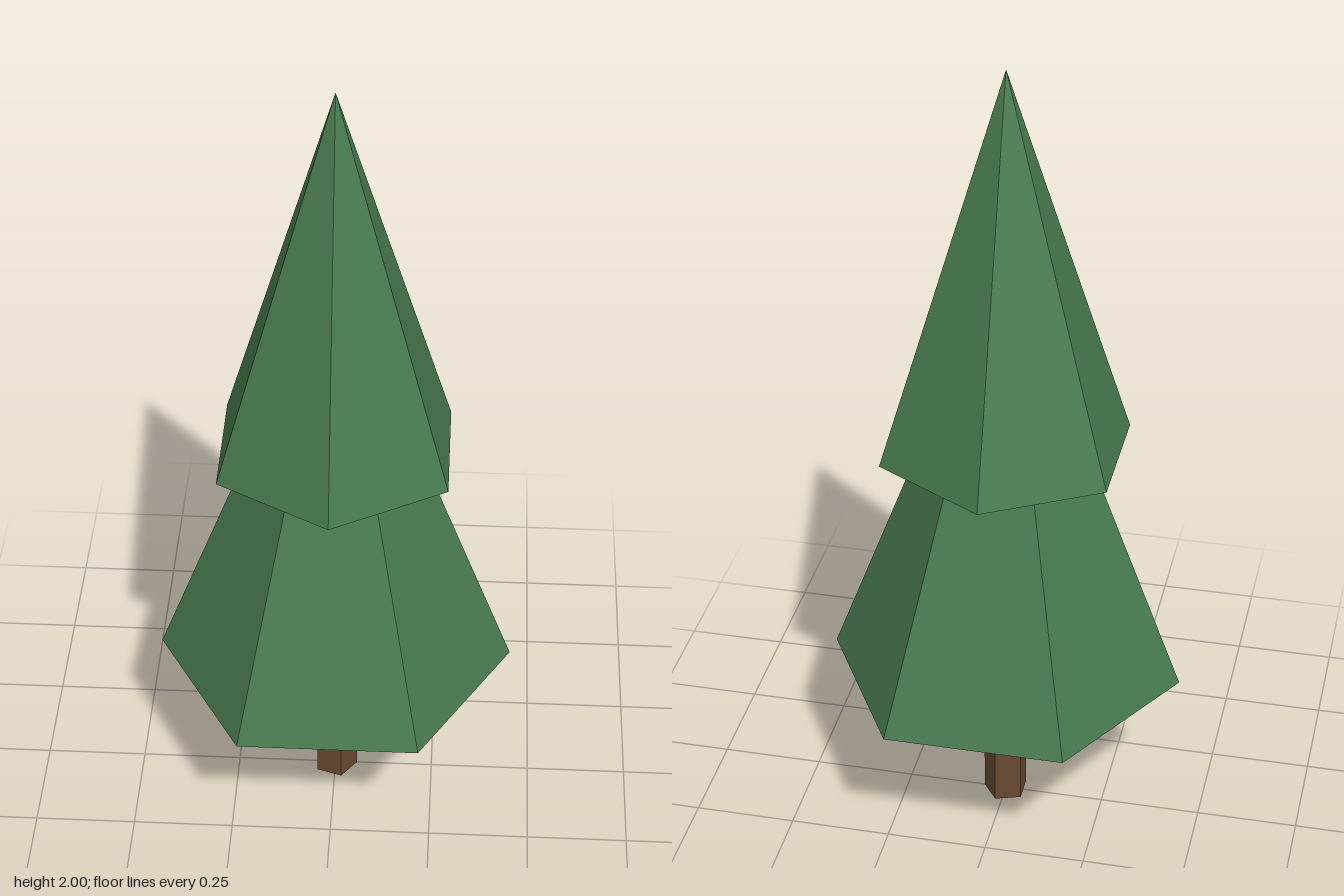
import * as THREE from 'three';

const foliageGreen = new THREE.MeshStandardMaterial({ color: 0x487a4f });
foliageGreen.name = 'foliage green';
const barkBrown = new THREE.MeshStandardMaterial({ color: 0x684a32 });
barkBrown.name = 'bark brown';

// Faceted, capped prism or cone standing between two heights; the first corner lies at angle start from +z.
function tier(name, material, rTop, rBottom, y0, y1, sides, start) {
  const geometry = new THREE.CylinderGeometry(rTop, rBottom, y1 - y0, sides, 1, false, start)
    .translate(0, (y0 + y1) / 2, 0)
    .toNonIndexed();
  geometry.computeVertexNormals(); // flat facets
  const mesh = new THREE.Mesh(geometry, material);
  mesh.name = name;
  return mesh;
}

export function createModel() {
  const tree = new THREE.Group();
  tree.name = 'pineTree';
  tree.add(
    // Five-sided trunk with a corner towards +x
    tier('trunk', barkBrown, 0.056, 0.056, 0, 0.45, 5, Math.PI / 2),
    // Wide lower branches, corners on the x axis
    tier('lowerBranches', foliageGreen, 0, 0.439, 0.4, 1.56, 6, Math.PI / 2),
    // Narrow upper branches, corners on the z axis
    tier('upperBranches', foliageGreen, 0, 0.315, 1.03, 2, 6, 0),
  );
  return tree;
}
